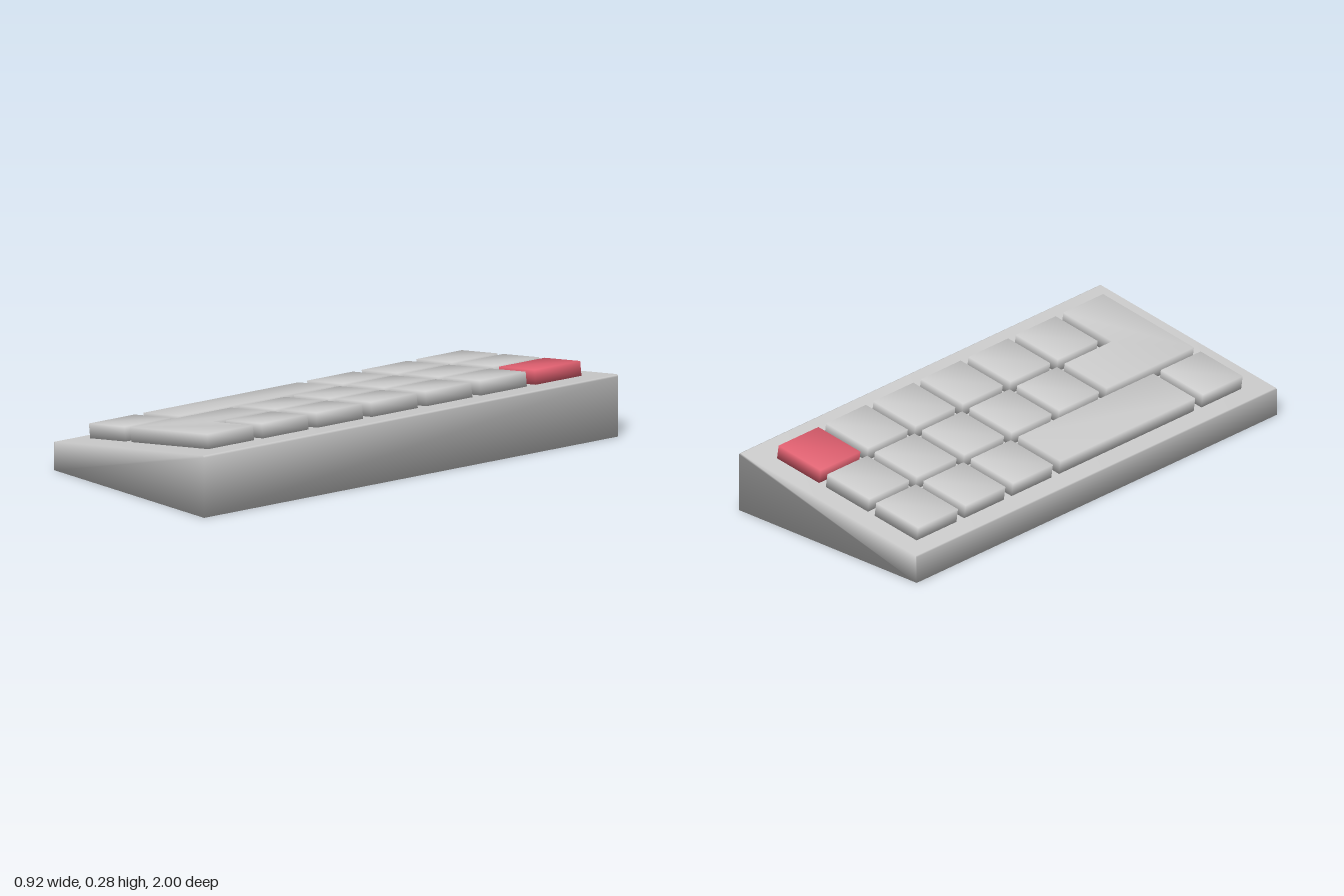
import * as THREE from 'three';
import { mergeVertices } from 'three/addons/utils/BufferGeometryUtils.js';

const grey = new THREE.MeshStandardMaterial({ color: 0xcccccc });
const red = new THREE.MeshStandardMaterial({ color: 0xe06070 });

// Straight prism with welded corners, so its normals are smooth
function prism(points, depth) {
  const shape = new THREE.Shape(points.map(([x, y]) => new THREE.Vector2(x, y)));
  const geo = new THREE.ExtrudeGeometry(shape, { depth, bevelEnabled: false });
  geo.deleteAttribute('normal');
  geo.deleteAttribute('uv');
  const welded = mergeVertices(geo);
  welded.computeVertexNormals();
  return welded;
}

const SLOPE = 0.1435, KEY = 0.221, KEY_HEIGHT = 0.057;
const colStart = (c) => -0.386 + 0.2565 * c;
const rowStart = (r) => -0.915 + 0.2635 * r;

function addKey(parent, name, outline, material = grey) {
  // outline holds (across, along) corners on the sloped deck
  const geo = prism(outline.map(([u, z]) => [u, -z]), KEY_HEIGHT);
  geo.rotateX(-Math.PI / 2);
  const key = new THREE.Mesh(geo, material);
  key.name = name;
  parent.add(key);
}

// Rectangular key covering one column and one or more rows
function addRectKey(parent, name, col, row, lastRow = row, material = grey) {
  const u0 = colStart(col), u1 = u0 + KEY;
  const z0 = rowStart(row), z1 = rowStart(lastRow) + KEY;
  addKey(parent, name, [[u0, z1], [u1, z1], [u1, z0], [u0, z0]], material);
}

export function createModel() {
  const model = new THREE.Group();
  model.name = 'keypad';

  // Wedge-shaped case with slightly eased top edges
  const caseGeo = prism([
    [-0.462, 0], [0.462, 0], [0.462, 0.235], [0.459, 0.241], [0.453, 0.243],
    [-0.457, 0.112], [-0.462, 0.108],
  ], 2);
  caseGeo.translate(0, 0, -1);
  const body = new THREE.Mesh(caseGeo, grey);
  body.name = 'case';
  model.add(body);

  // Keys stand square to the sloped deck
  const keys = new THREE.Group();
  keys.name = 'keys';
  keys.position.y = 0.178;
  keys.rotation.z = SLOPE;
  model.add(keys);

  // Number of single keys in each column, from the back
  [3, 5, 6].forEach((count, col) => {
    for (let row = 0; row < count; row++) {
      const accent = col === 2 && row === 0;
      addRectKey(keys, accent ? 'accentKey' : 'key', col, row, row, accent ? red : grey);
    }
  });
  addRectKey(keys, 'longKey', 0, 3, 5);
  addRectKey(keys, 'cornerKey', 0, 6);

  // L-shaped key
  const u0 = colStart(1), u1 = u0 + KEY, u2 = colStart(2) + KEY;
  const z0 = rowStart(5), z1 = rowStart(6), z2 = z1 + KEY;
  addKey(keys, 'angledKey', [[u0, z2], [u2, z2], [u2, z1], [u1, z1], [u1, z0], [u0, z0]]);

  return model;
}
